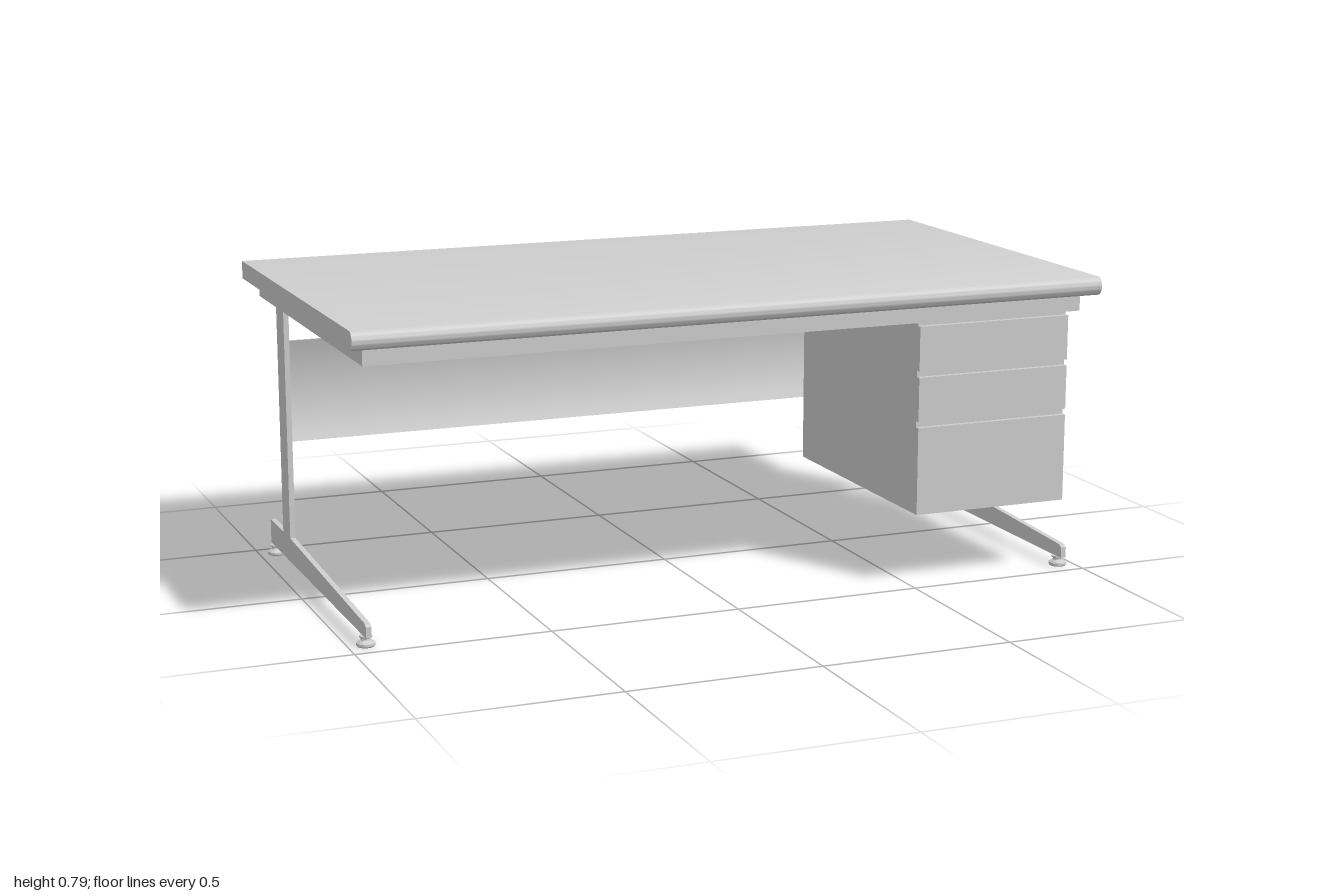
import * as THREE from 'three';
import { toCreasedNormals } from 'three/addons/utils/BufferGeometryUtils.js';

const material = new THREE.MeshStandardMaterial({ color: 0xcccccc });

function addMesh(parent, name, geometry) {
  const mesh = new THREE.Mesh(geometry, material);
  mesh.name = name;
  parent.add(mesh);
  return mesh;
}

// Box given by its limits on each axis
function addBox(parent, name, [x0, x1], [y0, y1], [z0, z1]) {
  const mesh = addMesh(parent, name, new THREE.BoxGeometry(x1 - x0, y1 - y0, z1 - z0));
  mesh.position.set((x0 + x1) / 2, (y0 + y1) / 2, (z0 + z1) / 2);
  return mesh;
}

// Side profile drawn in (z, y), extruded across x and centred on x = 0
function sideExtrude(shape, width) {
  const geometry = new THREE.ExtrudeGeometry(shape, { depth: width, bevelEnabled: false, curveSegments: 10 });
  geometry.translate(0, 0, -width / 2);
  geometry.rotateY(-Math.PI / 2);
  return toCreasedNormals(geometry, 0.6);
}

export function createModel() {
  const desk = new THREE.Group();
  desk.name = 'desk';

  // Worktop with a rounded front edge
  const top = new THREE.Shape();
  top.moveTo(-0.545, 0.745);
  top.lineTo(0.532, 0.745);
  top.bezierCurveTo(0.551, 0.755, 0.551, 0.782, 0.532, 0.792);
  top.lineTo(-0.545, 0.792);
  addMesh(desk, 'worktop', sideExtrude(top, 2));

  // Open rectangular frame under the worktop
  const frame = new THREE.Group();
  frame.name = 'underFrame';
  desk.add(frame);
  const fx = 0.963, rail = 0.026, fy = [0.7, 0.745];
  addBox(frame, 'frontRail', [-fx, fx], fy, [0.5 - rail, 0.5]);
  addBox(frame, 'backRail', [-fx, fx], fy, [-0.51, -0.51 + rail]);
  for (const s of [-1, 1]) {
    const xs = [s * fx, s * (fx - rail)].sort((a, b) => a - b);
    addBox(frame, s > 0 ? 'leftRail' : 'rightRail', xs, fy, [-0.51 + rail, 0.5 - rail]);
  }

  // T-shaped leg with tapered foot
  const leg = new THREE.Shape();
  [[-0.47, 0.027], [0.472, 0.027], [0.472, 0.055], [0.46, 0.062], [-0.255, 0.092],
    [-0.255, 0.7], [-0.33, 0.7], [-0.33, 0.092], [-0.47, 0.092]]
    .forEach(([z, y], i) => (i ? leg.lineTo(z, y) : leg.moveTo(z, y)));
  const legGeometry = sideExtrude(leg, 0.014);

  // Levelling glide
  const glideProfile = [[0, 0], [0.021, 0], [0.0235, 0.003], [0.0235, 0.009], [0.013, 0.016],
    [0.012, 0.02], [0.016, 0.023], [0.016, 0.027], [0, 0.027]]
    .map(([r, y]) => new THREE.Vector2(r, y));
  const glideGeometry = toCreasedNormals(new THREE.LatheGeometry(glideProfile, 20), 0.6);

  for (const s of [-1, 1]) {
    const side = new THREE.Group();
    side.name = s > 0 ? 'leftLeg' : 'rightLeg';
    side.position.x = s * 0.956;
    desk.add(side);
    addMesh(side, 'legAndFoot', legGeometry);
    addMesh(side, 'frontGlide', glideGeometry).position.z = 0.443;
    addMesh(side, 'backGlide', glideGeometry).position.z = -0.443;
  }

  // Modesty panel, gently bowed towards the back
  const panel = new THREE.Shape();
  panel.moveTo(-0.278, 0.35);
  panel.quadraticCurveTo(-0.328, 0.485, -0.278, 0.62);
  panel.lineTo(-0.27, 0.62);
  panel.quadraticCurveTo(-0.32, 0.485, -0.27, 0.35);
  addMesh(desk, 'modestyPanel', sideExtrude(panel, 1.9));

  // Drawer pedestal: case and three fronts separated by grip gaps
  const pedestal = new THREE.Group();
  pedestal.name = 'drawerPedestal';
  desk.add(pedestal);
  const px = [0.505, 0.936];
  addBox(pedestal, 'case', px, [0.193, 0.7], [-0.207, 0.476]);
  for (const ys of [[0.193, 0.423], [0.439, 0.555], [0.571, 0.688]]) {
    addBox(pedestal, 'drawerFront', px, ys, [0.476, 0.49]);
  }
  return desk;
}
